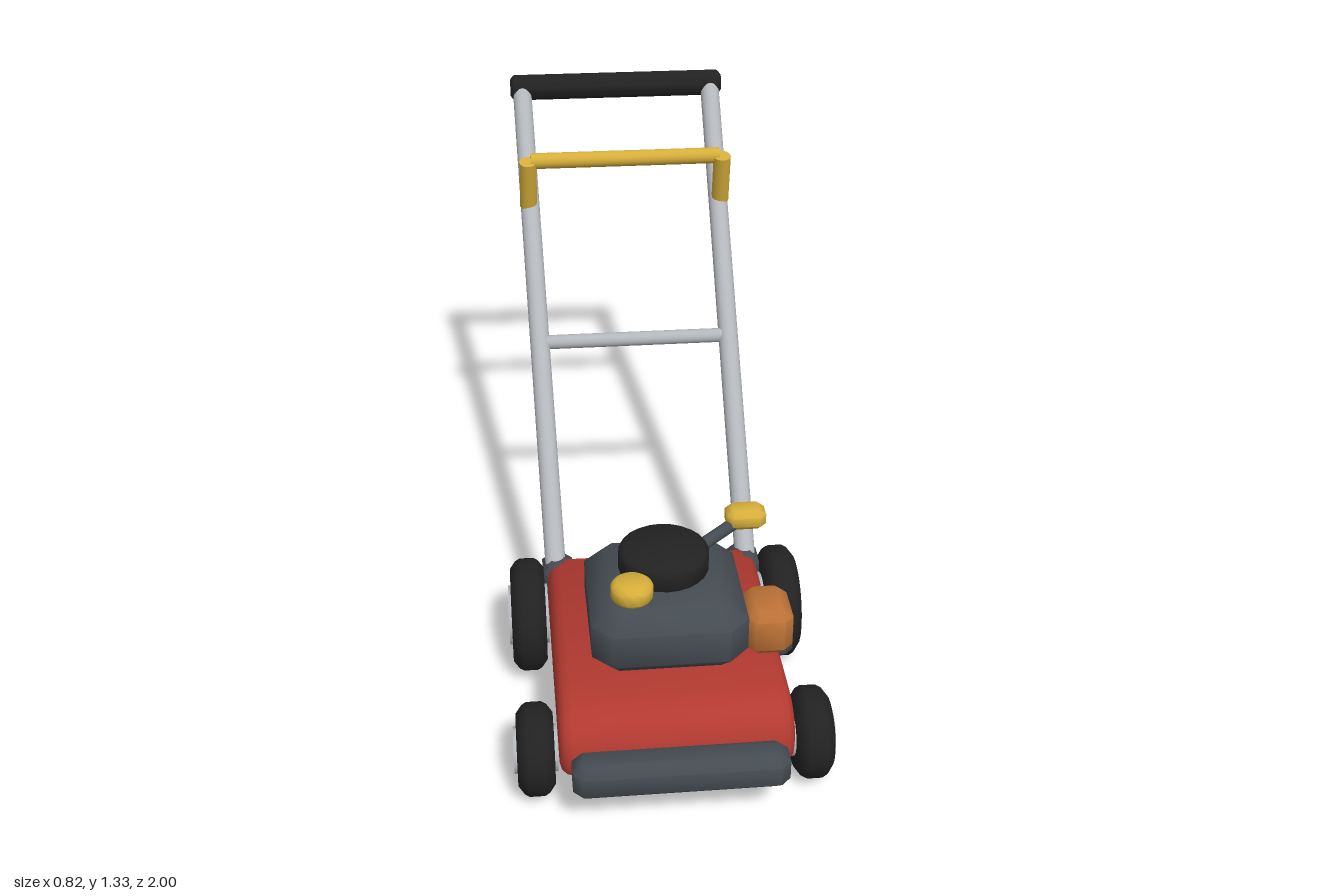
import * as THREE from 'three';
import { toCreasedNormals } from 'three/addons/utils/BufferGeometryUtils.js';

const mat = (name, color) => {
  const m = new THREE.MeshStandardMaterial({ color });
  m.name = name;
  return m;
};

export function createModel() {
  const red = mat('deck red', 0xb33a31);
  const grey = mat('engine grey', 0x444b51);
  const black = mat('rubber black', 0x222222);
  const silver = mat('metal silver', 0xb3b6bb);
  const yellow = mat('control yellow', 0xd6ae3a);
  const orange = mat('filter orange', 0xbb7136);

  const model = new THREE.Group();
  model.name = 'lawnMower';

  const add = (name, geometry, material, x = 0, y = 0, z = 0) => {
    const mesh = new THREE.Mesh(geometry, material);
    mesh.name = name;
    mesh.position.set(x, y, z);
    model.add(mesh);
    return mesh;
  };

  // Box with every edge chamfered by c
  const chamferBox = (w, h, d, c) => {
    const a = w / 2, b = d / 2;
    const shape = new THREE.Shape([
      [a - c, -b], [a, c - b], [a, b - c], [a - c, b],
      [c - a, b], [-a, b - c], [-a, c - b], [c - a, -b],
    ].map(([x, y]) => new THREE.Vector2(x, y)));
    const g = new THREE.ExtrudeGeometry(shape, {
      depth: h - 2 * c, bevelThickness: c, bevelSize: c, bevelOffset: -c, bevelSegments: 1,
    });
    g.translate(0, 0, c - h / 2);
    g.rotateX(-Math.PI / 2);
    return toCreasedNormals(g, 0.9);
  };

  // Turned disc with chamfered rims, axis along y
  const turned = (r, h, c) => toCreasedNormals(new THREE.LatheGeometry([
    [0, -h / 2], [r - c, -h / 2], [r - c * 0.25, c * 0.55 - h / 2], [r, c - h / 2],
    [r, h / 2 - c], [r - c * 0.25, h / 2 - c * 0.55], [r - c, h / 2], [0, h / 2],
  ].map(([x, y]) => new THREE.Vector2(x, y)), 24), 0.9);

  // Round bar between two points
  const rod = (name, from, to, r, material) => {
    const a = new THREE.Vector3(...from), b = new THREE.Vector3(...to);
    const dir = b.clone().sub(a);
    const mesh = add(name, new THREE.CylinderGeometry(r, r, dir.length(), 18), material);
    mesh.position.copy(a).add(b).multiplyScalar(0.5);
    mesh.quaternion.setFromUnitVectors(new THREE.Vector3(0, 1, 0), dir.normalize());
    return mesh;
  };

  // Deck: side profile with a rounded nose, extruded across the width
  const profile = new THREE.Shape();
  profile.moveTo(0.15, 0.1);
  profile.lineTo(0.84, 0.1);
  profile.quadraticCurveTo(0.91, 0.1, 0.91, 0.17);
  profile.quadraticCurveTo(0.9, 0.285, 0.77, 0.285);
  profile.lineTo(0.19, 0.285);
  profile.lineTo(0.15, 0.25);
  const bevel = 0.035;
  const deck = new THREE.ExtrudeGeometry(profile, {
    depth: 0.59 - 2 * bevel, curveSegments: 8,
    bevelThickness: bevel, bevelSize: bevel, bevelOffset: -bevel, bevelSegments: 3,
  });
  deck.translate(0, 0, bevel - 0.295);
  deck.rotateY(-Math.PI / 2);
  add('deck', toCreasedNormals(deck, 0.9), red);

  add('frontBumper', chamferBox(0.535, 0.1, 0.1, 0.024), grey, 0, 0.167, 0.95);
  add('sideChute', chamferBox(0.085, 0.115, 0.2, 0.022), grey, 0.314, 0.2, 0.42);

  // Engine and its fittings
  add('engine', chamferBox(0.4, 0.195, 0.4, 0.052), grey, 0, 0.373, 0.545);
  add('starterHousing', turned(0.118, 0.075, 0.015), black, 0, 0.4975, 0.517);
  add('fuelCap', turned(0.054, 0.055, 0.014), yellow, -0.094, 0.496, 0.65);
  add('airFilter', chamferBox(0.12, 0.133, 0.155, 0.024), orange, 0.257, 0.362, 0.623);
  rod('starterArm', [0.08, 0.495, 0.49], [0.21, 0.538, 0.42], 0.017, grey);
  add('starterGrip', chamferBox(0.105, 0.058, 0.075, 0.016), yellow, 0.228, 0.546, 0.412);

  for (const side of [1, -1]) {
    const prefix = side > 0 ? 'left' : 'right';

    // Wheels: large at the back, small at the front
    for (const [end, r, hubR, z] of [['Rear', 0.157, 0.083, 0.271], ['Front', 0.118, 0.059, 0.79]]) {
      const y = r + 0.005;
      add(`${prefix}${end}Tire`, turned(r, 0.094, 0.028), black, side * 0.353, y, z).rotation.z = Math.PI / 2;
      add(`${prefix}${end}Hub`, new THREE.CylinderGeometry(hubR, hubR, 0.11, 24), silver,
        side * 0.353, y, z).rotation.z = Math.PI / 2;
    }

    // Handle bracket, tube and lever arm
    add(`${prefix}HandleBracket`, chamferBox(0.085, 0.13, 0.125, 0.025), grey, side * 0.265, 0.22, 0.183);
    rod(`${prefix}HandleTube`, [side * 0.27, 0.235, 0.21], [side * 0.297, 1.3, -0.96], 0.029, silver);
    rod(`${prefix}LeverArm`, [side * 0.295, 1.025, -0.645], [side * 0.293, 1.178, -0.605], 0.026, yellow);
  }

  // Bars across the handle
  rod('handleCrossbar', [-0.28, 0.717, -0.32], [0.28, 0.717, -0.32], 0.021, silver);
  rod('leverBar', [-0.285, 1.175, -0.62], [0.285, 1.175, -0.62], 0.024, yellow);
  add('handleGrip', turned(0.039, 0.666, 0.014), black, 0, 1.296, -0.961).rotation.z = Math.PI / 2;

  return model;
}
